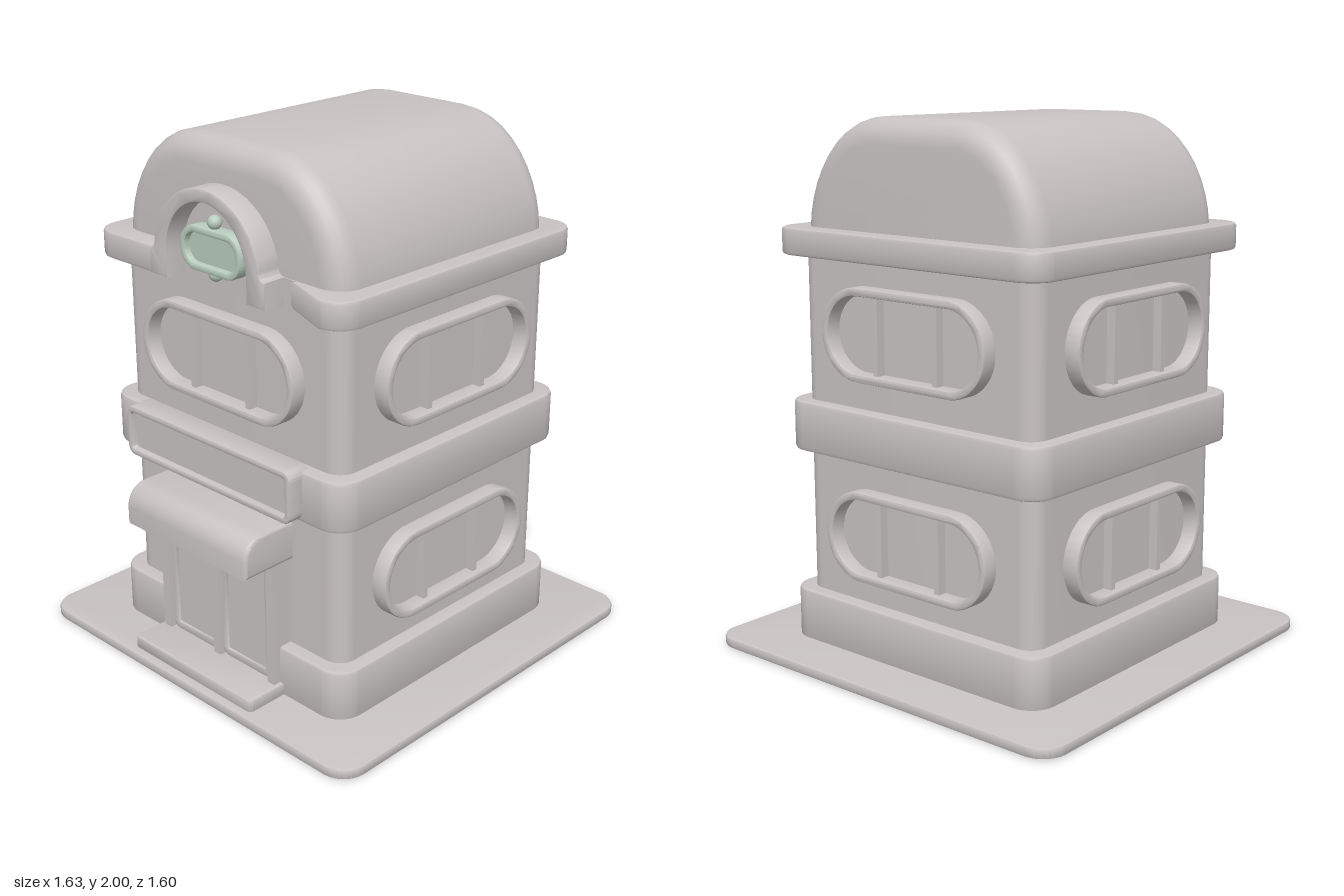
import * as THREE from 'three';
import { toCreasedNormals } from 'three/addons/utils/BufferGeometryUtils.js';

const stone = new THREE.MeshStandardMaterial({ color: 0xc8c3c2 });
stone.name = 'warm grey stone';
const mint = new THREE.MeshStandardMaterial({ color: 0xb9ccbd });
mint.name = 'pale green';

// Rounded rectangle centred on (cx, cy)
function roundRect(w, h, r, cx = 0, cy = 0, T = THREE.Shape) {
  const s = new T(), x = w / 2, y = h / 2, q = Math.PI / 2;
  s.absarc(cx + x - r, cy - y + r, r, -q, 0);
  s.absarc(cx + x - r, cy + y - r, r, 0, q);
  s.absarc(cx - x + r, cy + y - r, r, q, 2 * q);
  s.absarc(cx - x + r, cy - y + r, r, 2 * q, 3 * q);
  s.closePath();
  return s;
}

// Rounded rectangular ring
function ring(w, h, r, t, cx = 0, cy = 0) {
  const s = roundRect(w, h, r, cx, cy);
  s.holes.push(roundRect(w - 2 * t, h - 2 * t, r - t, cx, cy, THREE.Path));
  return s;
}

// Solid from z0 to z1 whose bevel stays inside the outline
function prism(shape, z0, z1, b = 0.01, segs = 2) {
  const g = new THREE.ExtrudeGeometry(shape, {
    depth: z1 - z0 - 2 * b, bevelEnabled: b > 0, bevelThickness: b,
    bevelSize: b, bevelOffset: -b, bevelSegments: segs, curveSegments: 10,
  });
  g.translate(0, 0, z0 + b);
  return toCreasedNormals(g, 0.7);
}

// Horizontal slab from a plan outline (outline y is -z)
const slab = (shape, y0, y1, b) => prism(shape, y0, y1, b).rotateX(-Math.PI / 2);

function add(parent, name, geometry, material = stone) {
  const m = new THREE.Mesh(geometry, material);
  m.name = name;
  parent.add(m);
  return m;
}

function box(x0, x1, y0, y1, z0, z1) {
  return new THREE.BoxGeometry(x1 - x0, y1 - y0, z1 - z0)
    .translate((x0 + x1) / 2, (y0 + y1) / 2, (z0 + z1) / 2);
}

// Pill window with two bars, facing +z
function makeWindow(name, y, angle, wall) {
  const g = new THREE.Group();
  g.name = name;
  add(g, 'windowFrame', prism(ring(0.77, 0.34, 0.17, 0.03), wall - 0.05, wall + 0.06, 0.008));
  for (const x of [-0.14, 0.14])
    add(g, 'windowBar', box(x - 0.011, x + 0.011, -0.15, 0.15, wall - 0.03, wall + 0.035));
  g.position.y = y;
  g.rotation.y = angle;
  return g;
}

export function createModel() {
  const model = new THREE.Group();
  model.name = 'building';

  // Ground slab, plinth, walls and middle band
  add(model, 'groundSlab', slab(roundRect(1.63, 1.6, 0.1), 0, 0.04, 0.01));
  add(model, 'plinth', slab(roundRect(1.21, 1.2, 0.1), 0.03, 0.23, 0.012));
  add(model, 'walls', slab(roundRect(1.1, 1.09, 0.07), 0.03, 1.6, 0));
  add(model, 'middleBand', slab(roundRect(1.21, 1.2, 0.1), 0.77, 0.96, 0.015));

  // Cornice, notched at the front for the arch
  const c = new THREE.Shape(), h = 0.622, r = 0.1, q = Math.PI / 2;
  c.moveTo(0.21, -h);
  c.absarc(h - r, -h + r, r, -q, 0);
  c.absarc(h - r, h - r, r, 0, q);
  c.absarc(-h + r, h - r, r, q, 2 * q);
  c.absarc(-h + r, -h + r, r, 2 * q, 3 * q);
  c.lineTo(-0.21, -h);
  c.lineTo(-0.21, -0.5);
  c.lineTo(0.21, -0.5);
  c.closePath();
  add(model, 'cornice', slab(c, 1.5, 1.6, 0.012));

  // Loaf-shaped roof
  const roof = new THREE.Shape();
  roof.moveTo(-0.55, 1.52);
  roof.lineTo(0.55, 1.52);
  roof.lineTo(0.55, 1.6);
  roof.bezierCurveTo(0.54, 1.78, 0.41, 2.0, 0.18, 2.0);
  roof.lineTo(-0.18, 2.0);
  roof.bezierCurveTo(-0.41, 2.0, -0.54, 1.78, -0.55, 1.6);
  roof.closePath();
  add(model, 'roof', prism(roof, -0.54, 0.54, 0.09, 6));

  // Front arch and the wall inside it
  const arch = new THREE.Shape();
  arch.moveTo(0.2, 1.505);
  arch.lineTo(0.29, 1.505);
  arch.lineTo(0.29, 1.6);
  arch.quadraticCurveTo(0.265, 1.6, 0.262, 1.63);
  arch.absellipse(0, 1.6, 0.264, 0.257, 0.12, Math.PI - 0.12);
  arch.quadraticCurveTo(-0.265, 1.6, -0.29, 1.6);
  arch.lineTo(-0.29, 1.505);
  arch.lineTo(-0.2, 1.505);
  arch.absellipse(0, 1.6, 0.2, 0.21, Math.PI, 0, true);
  arch.closePath();
  add(model, 'arch', prism(arch, 0.42, 0.632, 0.008));
  const gable = new THREE.Shape();
  gable.moveTo(-0.22, 1.49);
  gable.lineTo(0.22, 1.49);
  gable.absarc(0, 1.6, 0.22, 0, Math.PI);
  gable.closePath();
  add(model, 'archWall', prism(gable, 0.42, 0.548, 0));

  // Oval medallion
  const medallion = new THREE.Group();
  medallion.name = 'medallion';
  add(medallion, 'medallionRim', prism(ring(0.305, 0.16, 0.075, 0.026, -0.012, 1.63), 0.53, 0.6, 0.008), mint);
  add(medallion, 'medallionFace', prism(roundRect(0.27, 0.13, 0.06, -0.012, 1.63), 0.53, 0.575, 0), mint);
  for (const y of [1.73, 1.548])
    add(medallion, 'medallionKnob',
      new THREE.SphereGeometry(0.026, 14, 10).translate(-0.012, y, 0.57), mint);
  model.add(medallion);

  // Windows on every side except the door
  for (const y of [0.495, 1.24]) {
    model.add(makeWindow('leftWindow', y, Math.PI / 2, 0.55));
    model.add(makeWindow('rightWindow', y, -Math.PI / 2, 0.55));
    model.add(makeWindow('backWindow', y, Math.PI, 0.545));
  }
  model.add(makeWindow('frontWindow', 1.24, 0, 0.545));

  // Framed blank sign board
  add(model, 'signFrame', prism(ring(0.855, 0.195, 0.035, 0.025, -0.005, 0.875), 0.56, 0.66, 0.007));
  add(model, 'signPanel', prism(roundRect(0.83, 0.17, 0.02, -0.005, 0.875), 0.56, 0.635, 0));

  // Doorway: step, jambs, centre post, head and two framed doors
  const door = new THREE.Group();
  door.name = 'doorway';
  add(door, 'doorStep', slab(roundRect(0.64, 0.26, 0.02, 0, -0.635), 0.03, 0.085, 0.008));
  for (const s of [-1, 1]) {
    add(door, 'doorJamb', box(s * 0.285 - 0.018, s * 0.285 + 0.018, 0.08, 0.58, 0.5, 0.63));
    add(door, 'doorPanel', box(s * 0.14 - 0.13, s * 0.14 + 0.13, 0.08, 0.57, 0.5, 0.603));
    const cx = s * 0.138;
    add(door, 'doorPanelFrame', prism(ring(0.26, 0.48, 0.031, 0.03, cx, 0.325), 0.59, 0.612, 0.003));
  }
  add(door, 'doorPost', box(-0.02, 0.015, 0.08, 0.57, 0.5, 0.63));
  add(door, 'doorHead', box(-0.3, 0.3, 0.555, 0.6, 0.5, 0.63));
  model.add(door);

  // Rounded awning, drawn as a side profile and turned to run along x
  const awning = new THREE.Shape();
  awning.moveTo(0.5, 0.57);
  awning.lineTo(0.77, 0.57);
  awning.lineTo(0.77, 0.64);
  awning.bezierCurveTo(0.765, 0.69, 0.73, 0.72, 0.68, 0.72);
  awning.lineTo(0.5, 0.72);
  awning.closePath();
  add(model, 'awning', prism(awning, -0.318, 0.318, 0.015, 3).rotateY(-Math.PI / 2));

  return model;
}
